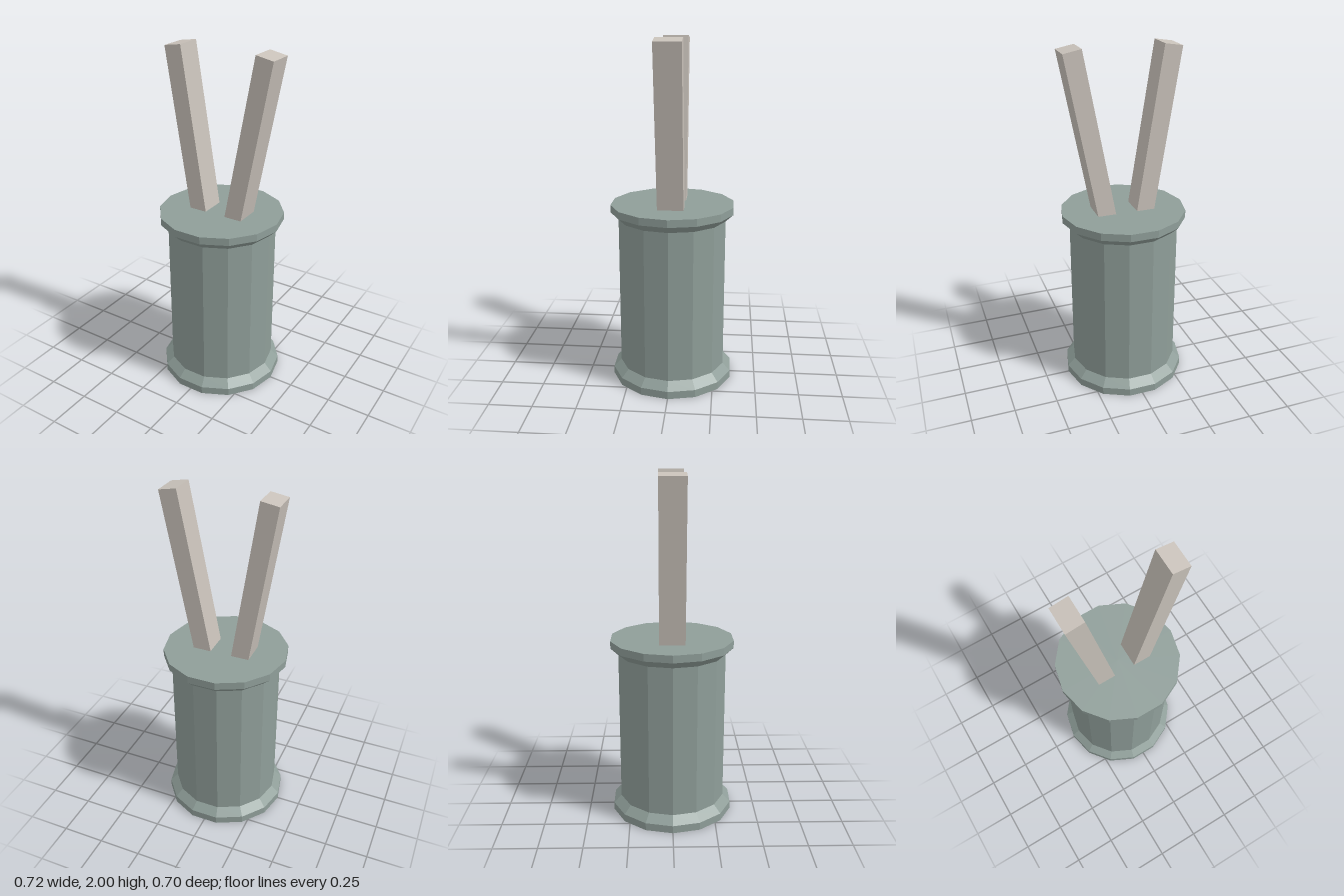
import * as THREE from 'three';

export function createModel() {
  const model = new THREE.Group();
  const drumMat = new THREE.MeshStandardMaterial({ color: 0x8f9e99, flatShading: true });
  const postMat = new THREE.MeshStandardMaterial({ color: 0xc9c2ba, flatShading: true });

  // Fourteen-sided drum with flared rims, closed at both ends
  const profile = [
    [0, 0], [0.36, 0], [0.36, 0.045], [0.315, 0.09],
    [0.315, 0.98], [0.36, 1.022], [0.36, 1.065], [0, 1.065],
  ].map(([r, y]) => new THREE.Vector2(r, y));
  const drum = new THREE.Mesh(new THREE.LatheGeometry(profile, 14, Math.PI / 2), drumMat);
  drum.name = 'drum';
  model.add(drum);

  // Leaning square post, placed by the centre of its top end
  function addPost(name, x, y, leanDegrees) {
    const length = 0.98;
    const geometry = new THREE.BoxGeometry(0.104, length, 0.148).translate(0, -length / 2, 0);
    const post = new THREE.Mesh(geometry, postMat);
    post.name = name;
    post.position.set(x, y, 0);
    post.rotation.z = THREE.MathUtils.degToRad(leanDegrees);
    model.add(post);
  }
  addPost('rightPost', -0.26, 1.992, 9);
  addPost('leftPost', 0.295, 1.99, -10.8);

  return model;
}
